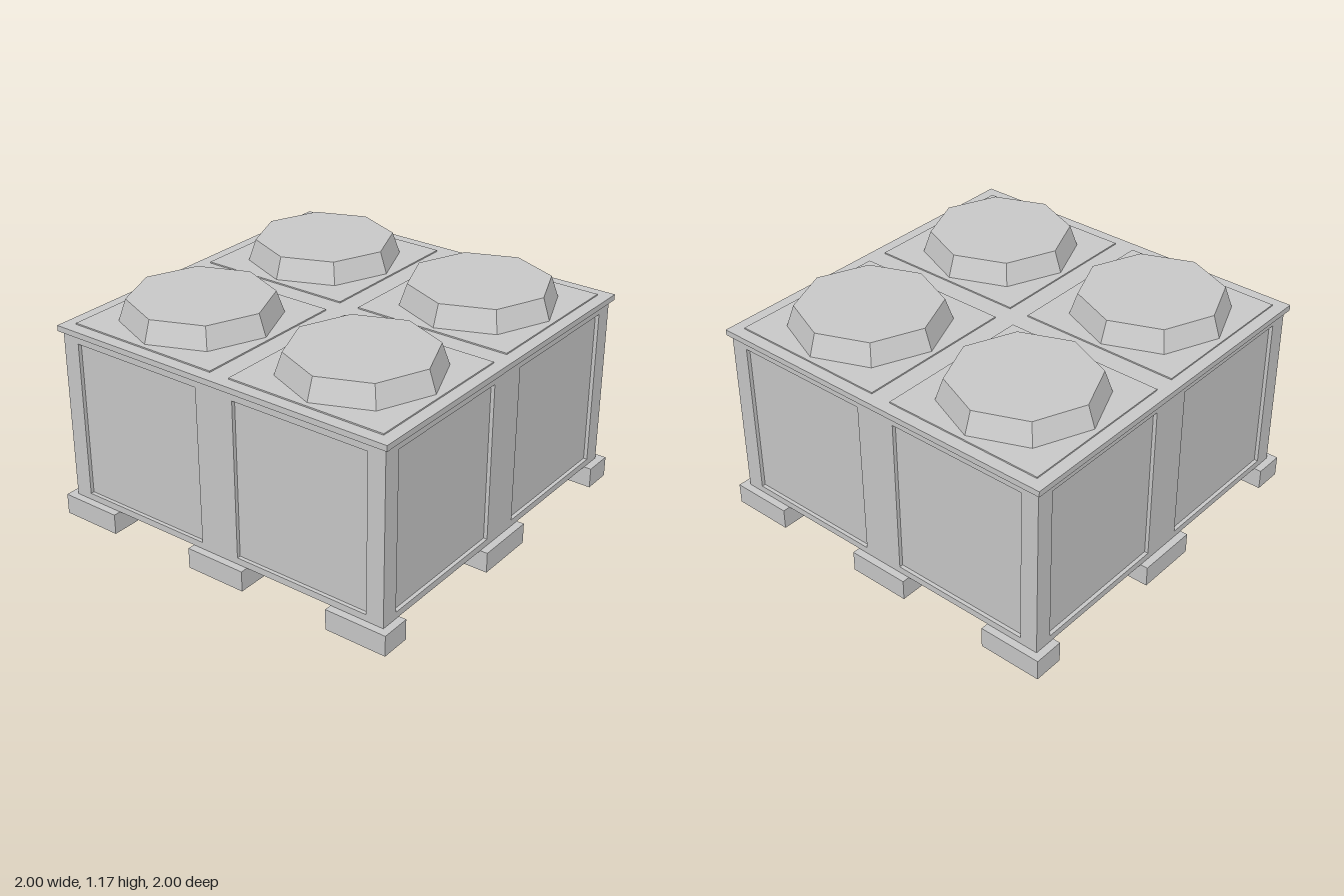
import * as THREE from 'three';

const material = new THREE.MeshStandardMaterial({
  color: 0xcccccc, flatShading: true, side: THREE.DoubleSide,
});

function add(parent, name, geometry, x = 0, y = 0, z = 0) {
  const mesh = new THREE.Mesh(geometry, material);
  mesh.name = name;
  mesh.position.set(x, y, z);
  parent.add(mesh);
  return mesh;
}

// Square-section shell around the y axis, from [half-width, height] pairs
function squareShell(profile) {
  const points = profile.map(([half, y]) => new THREE.Vector2(half * Math.SQRT2, y));
  return new THREE.LatheGeometry(points, 4, Math.PI / 4);
}

function rect(target, x0, y0, x1, y1) {
  target.moveTo(x0, y0);
  target.lineTo(x1, y0);
  target.lineTo(x1, y1);
  target.lineTo(x0, y1);
  target.closePath();
  return target;
}

const BODY = 0.96, LID = 0.98, FOOT_H = 0.11, WALL_TOP = 1.02, LID_TOP = 1.055;
const FAN = 0.486, FAN_R = 0.404, PLATE = 0.43, PLATE_H = 0.007;

// One side wall with two recessed panels, facing +z
function makeWall() {
  const wall = new THREE.Group();
  wall.name = 'sideWall';
  const inner = 0.11, outer = 0.865, low = 0.145, high = 0.98, depth = 0.02;
  const w = outer - inner, h = high - low, midY = (low + high) / 2;
  const shape = rect(new THREE.Shape(), -BODY, FOOT_H, BODY, WALL_TOP);
  for (const s of [-1, 1]) {
    const cx = s * (inner + outer) / 2;
    shape.holes.push(rect(new THREE.Path(), cx - w / 2, low, cx + w / 2, high));
    const reveal = squareShell([[0.5, 0], [0.5, 1]]);
    reveal.rotateX(Math.PI / 2);
    reveal.scale(w, h, depth);
    add(wall, 'panelReveal', reveal, cx, midY, BODY - depth);
    add(wall, 'recessedPanel', new THREE.PlaneGeometry(w, h), cx, midY, BODY - depth);
  }
  add(wall, 'wallFrame', new THREE.ShapeGeometry(shape), 0, 0, BODY);
  return wall;
}

export function createModel() {
  const model = new THREE.Group();
  model.name = 'coolingUnit';

  // Four walls, open underneath
  for (let i = 0; i < 4; i++) {
    const wall = makeWall();
    wall.rotation.y = i * Math.PI / 2;
    model.add(wall);
  }

  // Lid rim with bevelled underside
  add(model, 'lidRim', squareShell([[BODY, 1.015], [LID, 1.025], [LID, LID_TOP]]));

  // Lid top with an opening for each fan plate
  const lid = rect(new THREE.Shape(), -LID, -LID, LID, LID);
  for (const x of [-FAN, FAN]) for (const y of [-FAN, FAN]) {
    lid.holes.push(rect(new THREE.Path(), x - PLATE, y - PLATE, x + PLATE, y + PLATE));
  }
  const lidTop = new THREE.ShapeGeometry(lid);
  lidTop.rotateX(-Math.PI / 2);
  add(model, 'lidTop', lidTop, 0, LID_TOP, 0);

  // Slightly raised plates with eight-sided fan housings, hollow below
  const plate = rect(new THREE.Shape(), -PLATE, -PLATE, PLATE, PLATE);
  const corners = Array.from({ length: 8 }, (_, k) => new THREE.Vector2(
    FAN_R * Math.cos(k * Math.PI / 4), FAN_R * Math.sin(k * Math.PI / 4)));
  plate.holes.push(new THREE.Path(corners));
  const plateGeo = new THREE.ExtrudeGeometry(plate, { depth: PLATE_H, bevelEnabled: false });
  plateGeo.rotateX(-Math.PI / 2);
  const fanH = 1.175 - LID_TOP - PLATE_H;
  const fanGeo = new THREE.LatheGeometry([
    new THREE.Vector2(FAN_R, 0), new THREE.Vector2(0.365, fanH), new THREE.Vector2(0, fanH),
  ], 8);
  for (const x of [-FAN, FAN]) for (const z of [-FAN, FAN]) {
    add(model, 'fanPlate', plateGeo, x, LID_TOP, z);
    add(model, 'fanHousing', fanGeo, x, LID_TOP + PLATE_H, z);
  }

  // Feet around the edge, open underneath
  const footGeo = squareShell([[0.5, 0], [0.5, 1], [0, 1]]);
  for (const i of [-1, 0, 1]) for (const j of [-1, 0, 1]) {
    if (i === 0 && j === 0) continue;
    const w = i === 0 ? 0.335 : 0.16;
    const d = i === 0 ? 0.16 : 0.335;
    const foot = add(model, 'foot', footGeo, i * (1 - w / 2), 0, j * (1 - d / 2));
    foot.scale.set(w, FOOT_H, d);
  }
  return model;
}
